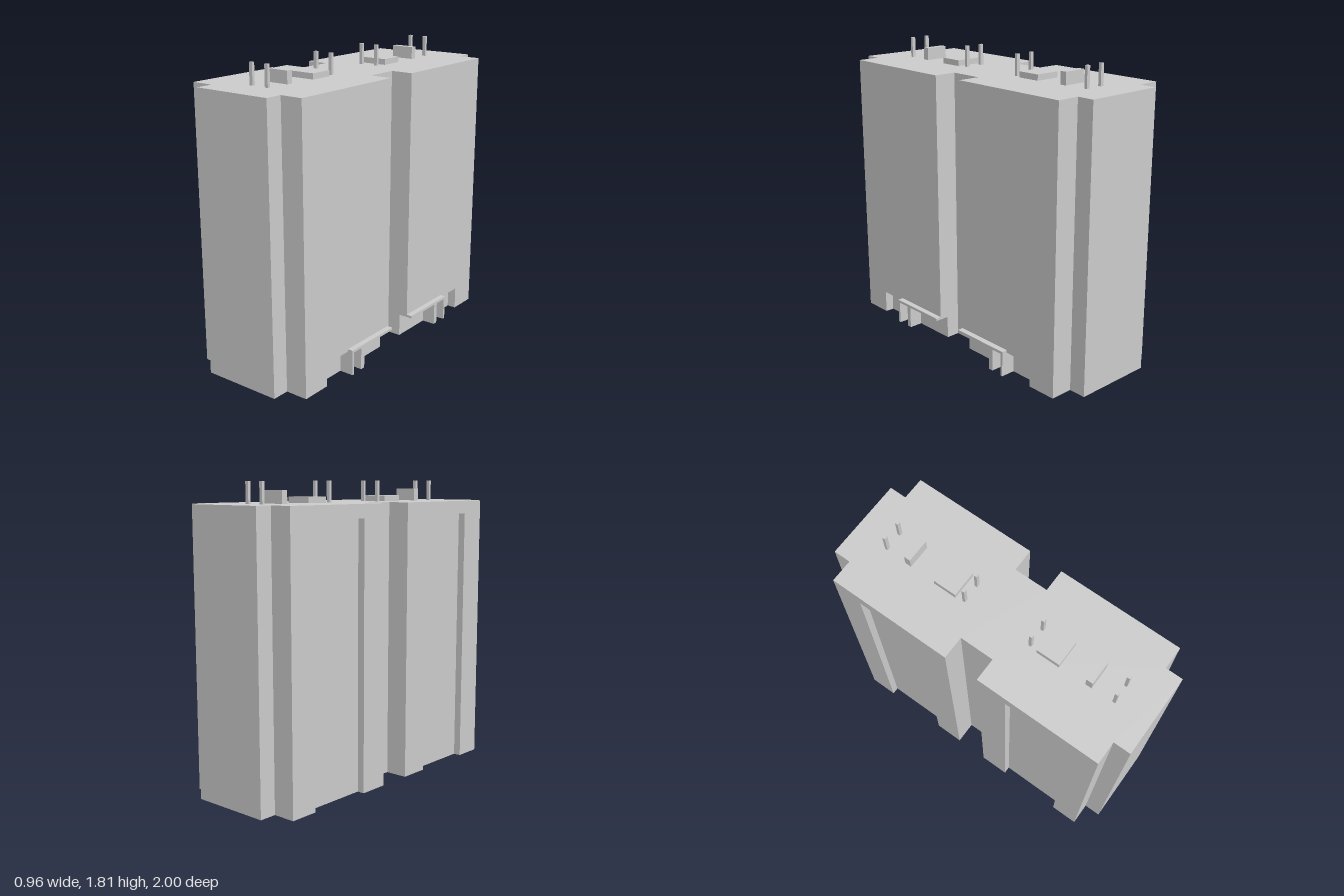
import * as THREE from 'three';

const W = 0.39, INSET = 0.25, END = 0.98, SHOULDER = 0.875, NOTCH = 0.105;
const ROOF = 1.68, PANEL_TOP = 1.6, LOBBY_TOP = 0.14, LOBBY_WALL = 0.335;

export function createModel() {
  const model = new THREE.Group();
  model.name = 'towerBlock';
  const material = new THREE.MeshStandardMaterial({ color: 0xcccccc, flatShading: true });

  const add = (name, geometry) => {
    const mesh = new THREE.Mesh(geometry, material);
    mesh.name = name;
    model.add(mesh);
  };
  // Box given by its ranges on each axis
  const box = (name, x0, x1, y0, y1, z0, z1) => {
    const g = new THREE.BoxGeometry(x1 - x0, y1 - y0, Math.abs(z1 - z0));
    g.translate((x0 + x1) / 2, (y0 + y1) / 2, (z0 + z1) / 2);
    add(name, g);
  };

  // One long side of the plan, back to front, mirrored about the middle notch
  const lobbyCut = [[W, -0.69], [LOBBY_WALL, -0.69], [LOBBY_WALL, -NOTCH]];
  const panelCut = [[W, -0.7], [0.345, -0.7], [0.345, -0.29], [W, -0.29], [W, -NOTCH]];
  const plain = [[W, -NOTCH]];
  const side = (cut) => {
    const half = [[INSET, -END], [INSET, -SHOULDER], [W, -SHOULDER], ...cut, [INSET, -NOTCH]];
    return [...half, ...half.map(([x, z]) => [x, -z]).reverse()];
  };
  const storey = (name, y0, y1, leftCut, rightCut) => {
    const left = side(leftCut);
    const right = side(rightCut).map(([x, z]) => [-x, z]).reverse();
    const shape = new THREE.Shape([...left, ...right].map(([x, z]) => new THREE.Vector2(x, -z)));
    const g = new THREE.ExtrudeGeometry(shape, { depth: y1 - y0, bevelEnabled: false });
    g.rotateX(-Math.PI / 2);
    g.translate(0, y0, 0);
    add(name, g);
  };

  // Body: lobby level, main shaft with recessed panels, roof slab
  storey('lobbyLevel', 0, LOBBY_TOP, lobbyCut, panelCut);
  storey('shaft', LOBBY_TOP, PANEL_TOP, plain, panelCut);
  storey('roofSlab', PANEL_TOP, ROOF, plain, plain);

  for (const s of [-1, 1]) {
    // Entrance canopy with its end wall and inner wall
    box('canopy', LOBBY_WALL, 0.425, LOBBY_TOP, 0.156, s * NOTCH, s * 0.5);
    box('canopyEndWall', LOBBY_WALL, 0.425, 0, LOBBY_TOP, s * 0.485, s * 0.5);
    box('entranceWall', LOBBY_WALL, 0.42, 0, LOBBY_TOP, s * 0.38, s * 0.41);

    // Rooftop housings and chimney pipes
    box('roofHatch', -0.08, 0.08, ROOF, 1.715, s * 0.27, s * 0.415);
    box('ventHousing', -0.075, 0.07, ROOF, 1.755, s * 0.58, s * 0.62);
    for (const z of [0.22, 0.757])
      for (const x of [-0.06, 0.051])
        box('pipe', x - 0.011, x + 0.011, ROOF, 1.806, s * (z - 0.009), s * (z + 0.009));
  }

  // The whole block stands slightly turned
  model.rotation.y = -THREE.MathUtils.degToRad(6);
  const root = new THREE.Group();
  root.name = 'building';
  root.add(model);
  return root;
}
